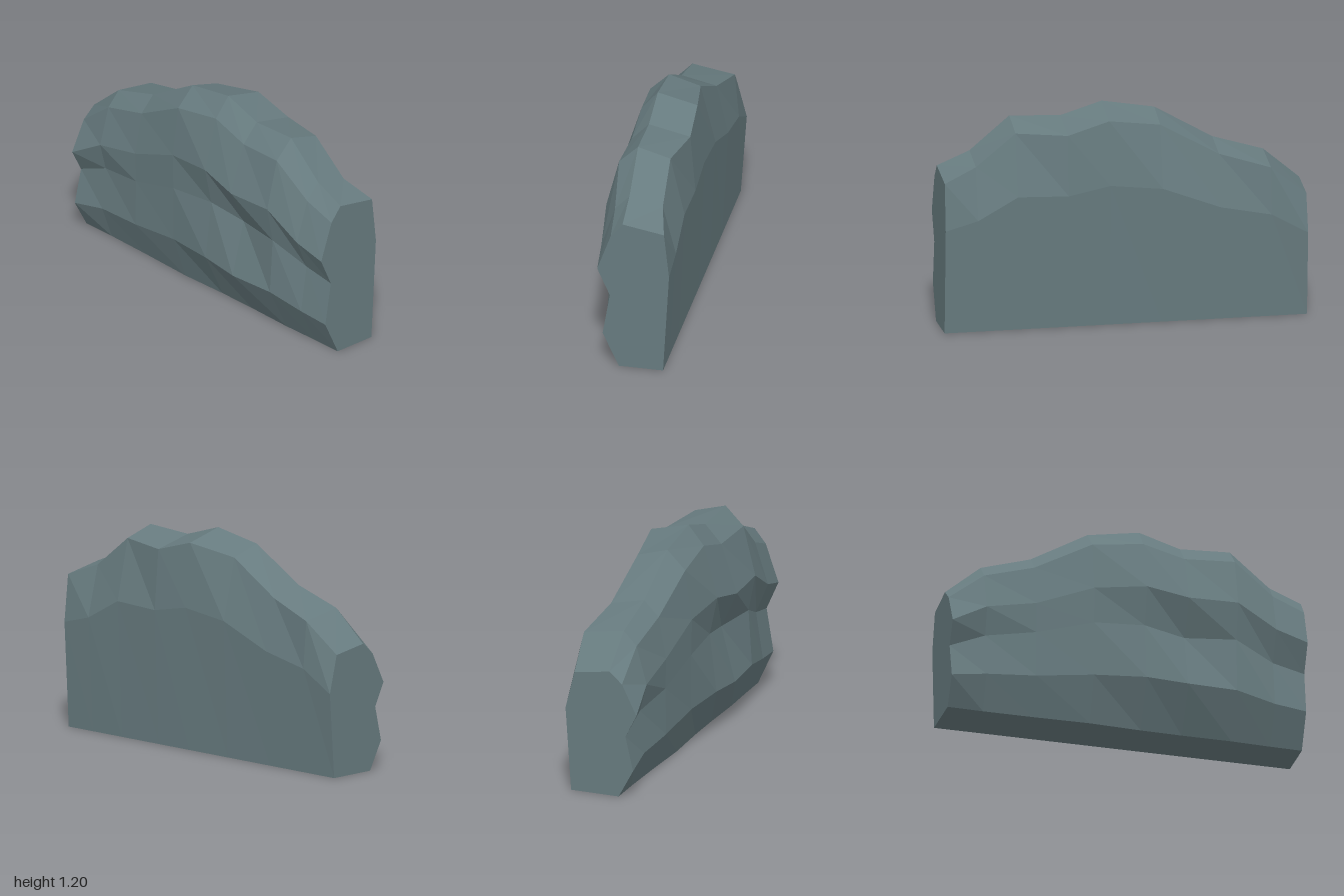
import * as THREE from 'three';

// Stations along the rock: crest height, and depth (z) of each ledge line.
const stations = [
  // x, height, foot, lower ledge, groove, upper ledge, shoulder, back top
  [-1.0, 0.71, 0.09, 0.175, 0.13, 0.195, 0.11, -0.17],
  [-0.8, 0.88, 0.085, 0.155, 0.13, 0.17, 0.11, -0.2],
  [-0.52, 0.965, 0.085, 0.165, 0.16, 0.165, 0.12, -0.16],
  [-0.2, 1.15, 0.09, 0.175, 0.175, 0.18, 0.14, -0.14],
  [0.09, 1.2, 0.075, 0.2, 0.16, 0.205, 0.125, -0.185],
  [0.32, 1.13, 0.07, 0.21, 0.13, 0.222, 0.13, -0.195],
  [0.6, 1.145, 0.07, 0.19, 0.17, 0.21, 0.14, -0.145],
  [0.82, 0.96, 0.06, 0.16, 0.12, 0.19, 0.115, -0.15],
  [1.0, 0.885, 0.055, 0.145, 0.105, 0.175, 0.1, -0.195],
];

// Closed cross-section: up the front, over the crest, down the back.
function section([x, h, foot, lower, groove, upper, shoulder, backTop]) {
  return [
    [foot, 0], [lower, 0.22 * h], [groove, 0.492 * h], [upper, 0.67 * h],
    [shoulder, 0.91 * h], [0.035, h], [backTop, 0.955 * h],
    [-0.223, 0.66 * h], [-0.19, 0],
  ].map(([z, y]) => new THREE.Vector3(x, y, z));
}

export function createModel() {
  const stone = new THREE.MeshStandardMaterial({ color: 0x677b7f, flatShading: true });
  stone.name = 'slate stone';

  const rings = stations.map(section);
  const points = [];
  const triangle = (...corners) => points.push(...corners);

  // Skin between neighbouring cross-sections
  for (let i = 0; i < rings.length - 1; i++) {
    const left = rings[i], right = rings[i + 1], n = left.length;
    for (let j = 0; j < n; j++) {
      const k = (j + 1) % n;
      triangle(left[j], right[j], left[k]);
      triangle(right[j], right[k], left[k]);
    }
  }

  // Flat cut ends
  const cap = (ring, flip) => {
    const outline = ring.map((p) => new THREE.Vector2(p.z, p.y));
    for (const [a, b, c] of THREE.ShapeUtils.triangulateShape(outline, [])) {
      if (flip) triangle(ring[a], ring[c], ring[b]);
      else triangle(ring[a], ring[b], ring[c]);
    }
  };
  cap(rings[0], false);
  cap(rings[rings.length - 1], true);

  const geometry = new THREE.BufferGeometry().setFromPoints(points);
  geometry.computeVertexNormals();

  const rock = new THREE.Mesh(geometry, stone);
  rock.name = 'rockLedge';
  const group = new THREE.Group();
  group.name = 'rockWall';
  group.add(rock);
  return group;
}
